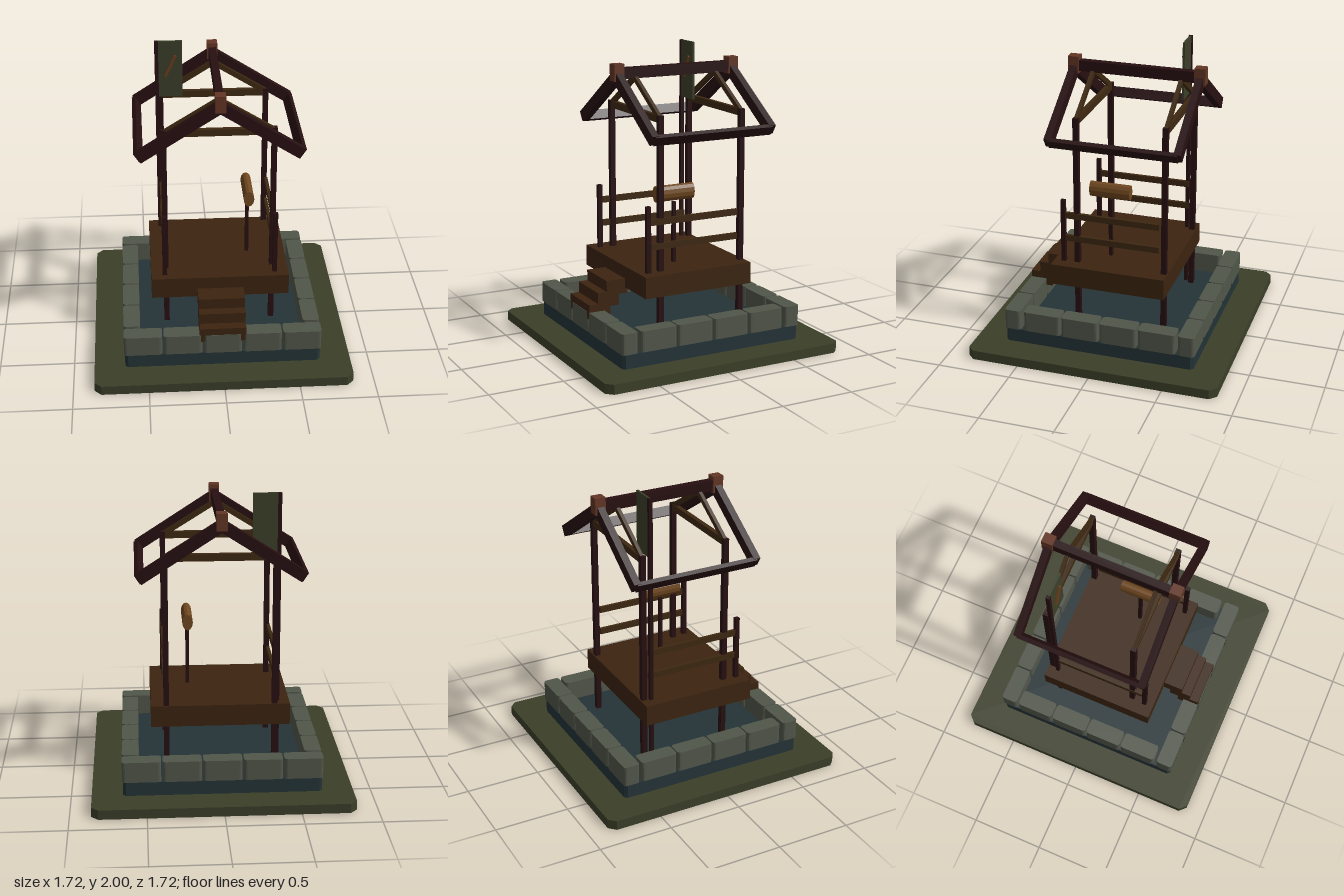
import * as THREE from 'three';

const mat = (name, color, extra = {}) => {
  const m = new THREE.MeshStandardMaterial({ color, ...extra });
  m.name = name;
  return m;
};

export function createModel() {
  const root = new THREE.Group();
  root.name = 'stiltPavilion';
  const moss = mat('moss green', 0x3b3f28);
  const stone = mat('grey stone', 0x51564a);
  const water = mat('dark blue', 0x243337);
  const deckWood = mat('deck brown', 0x3c2410);
  const darkWood = mat('dark timber', 0x270f11);
  const beamWood = mat('beam brown', 0x3d2811);
  const capWood = mat('red brown cap', 0x633625);
  const drumWood = mat('tan wood', 0x704820);
  const slashPaint = mat('orange brown', 0x6b3d1b);

  const add = (name, geo, material, x = 0, y = 0, z = 0) => {
    const m = new THREE.Mesh(geo, material);
    m.name = name;
    m.position.set(x, y, z);
    root.add(m);
    return m;
  };
  // Box given by its extents
  const box = (name, material, x0, x1, y0, y1, z0, z1) =>
    add(name, new THREE.BoxGeometry(x1 - x0, y1 - y0, z1 - z0), material,
      (x0 + x1) / 2, (y0 + y1) / 2, (z0 + z1) / 2);
  // Square upright centred on x, z
  const post = (name, x, z, w, y0, y1) =>
    box(name, darkWood, x - w / 2, x + w / 2, y0, y1, z - w / 2, z + w / 2);
  // Sloping bar between two points in an x-y plane
  const bar = (name, material, x0, y0, x1, y1, z, thick, depth) => {
    const m = add(name, new THREE.BoxGeometry(Math.hypot(x1 - x0, y1 - y0), thick, depth),
      material, (x0 + x1) / 2, (y0 + y1) / 2, z);
    m.rotation.z = Math.atan2(y1 - y0, x1 - x0);
    return m;
  };
  // Upright slab with cut or rounded vertical corners
  const slab = (name, material, x0, x1, y0, y1, z0, z1, r, cornerSteps = 1) => {
    const hx = (x1 - x0) / 2, hz = (z1 - z0) / 2, pts = [];
    [[1, 1], [-1, 1], [-1, -1], [1, -1]].forEach(([sx, sz], q) => {
      for (let i = 0; i <= cornerSteps; i++) {
        const a = (q + i / cornerSteps) * Math.PI / 2;
        pts.push(new THREE.Vector2(sx * (hx - r) + r * Math.cos(a), sz * (hz - r) + r * Math.sin(a)));
      }
    });
    const geo = new THREE.ExtrudeGeometry(new THREE.Shape(pts), { depth: y1 - y0, bevelEnabled: false });
    geo.rotateX(-Math.PI / 2);
    return add(name, geo, material, (x0 + x1) / 2, y0, (z0 + z1) / 2);
  };

  // Ground and pool
  slab('ground', moss, -0.86, 0.86, 0, 0.065, -0.86, 0.86, 0.045);
  slab('pool', water, -0.655, 0.655, 0.065, 0.16, -0.655, 0.655, 0.02);

  // Stone rim: five front and back, four on each side
  for (let i = 0; i < 5; i++) {
    const x = -0.66 + i * 0.266;
    slab('rimStone', stone, x, x + 0.256, 0.16, 0.3, -0.66, -0.548, 0.02, 3);
    slab('rimStone', stone, x, x + 0.256, 0.16, 0.3, 0.548, 0.66, 0.02, 3);
  }
  for (const s of [-1, 1]) for (let i = 0; i < 4; i++) {
    const z = -0.53 + i * 0.266, x = s * 0.604;
    slab('rimStone', stone, x - 0.056, x + 0.056, 0.16, 0.3, z, z + 0.256, 0.02, 3);
  }

  // Deck and steps
  box('deck', deckWood, -0.462, 0.462, 0.44, 0.585, -0.395, 0.395);
  for (let i = 0; i < 3; i++) {
    const z = 0.657 - i * 0.064, y = 0.25 + i * 0.075;
    box('step', deckWood, -0.155, 0.155, y, y + 0.1, z - 0.152, z);
  }

  // Corner posts with the trusses they carry
  for (const z of [0.236, -0.368]) {
    box('crossBeam', beamWood, -0.36, 0.36, 1.57, 1.617, z - 0.016, z + 0.016);
    for (const s of [-1, 1]) {
      post('cornerPost', s * 0.36, z, 0.036, 0.16, 1.617);
      bar('innerRafter', beamWood, s * 0.36, 1.595, 0, 1.82, z, 0.035, 0.024);
    }
  }

  // Side railings
  for (const s of [-1, 1]) {
    post('railPost', s * 0.37, 0.33, 0.03, 0.585, 1.03);
    for (const y of [0.757, 0.922])
      box('rail', beamWood, s * 0.37 - 0.011, s * 0.37 + 0.011, y - 0.021, y + 0.021, -0.335, 0.33);
  }

  // Roof frame
  box('ridgeBeam', darkWood, -0.025, 0.025, 1.815, 1.888, -0.495, 0.365);
  for (const s of [-1, 1]) {
    for (const z of [0.365, -0.495])
      bar('outerRafter', darkWood, s * 0.53, 1.49, 0, 1.832, z, 0.074, 0.048);
    const eave = add('eaveBeam', new THREE.BoxGeometry(0.03, 0.068, 0.86), darkWood, s * 0.525, 1.492, -0.065);
    eave.rotation.z = -s * 0.57;
  }
  for (const z of [0.365, -0.497])
    box('ridgeCap', capWood, -0.035, 0.035, 1.802, 1.916, z - 0.037, z + 0.037);

  // Sign on a tall pole
  post('signPole', -0.383, -0.323, 0.025, 0.16, 2);
  box('signBoard', moss, -0.372, -0.21, 1.6, 2, -0.33, -0.315);
  bar('signSlash', slashPaint, -0.325, 1.752, -0.257, 1.898, -0.308, 0.018, 0.014);

  // Oval log on its stand
  post('logStand', 0.203, 0.053, 0.024, 0.585, 1);
  const logGeo = new THREE.CylinderGeometry(0.055, 0.055, 0.28, 12).toNonIndexed();
  logGeo.rotateX(Math.PI / 2);
  logGeo.scale(0.65, 1, 1);
  logGeo.computeVertexNormals();
  add('log', logGeo, drumWood, 0.204, 1.063, 0.053);

  return root;
}
